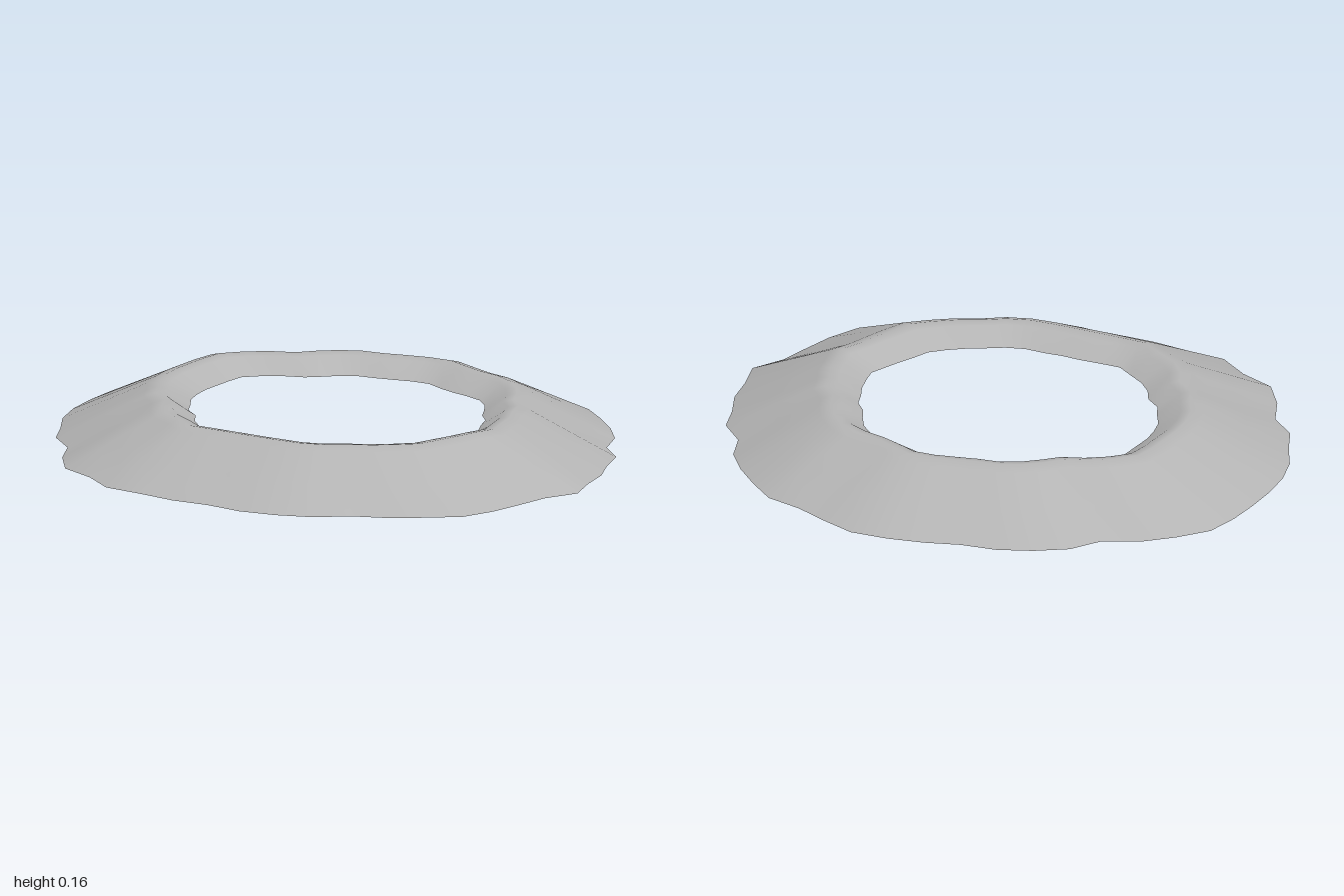
import * as THREE from 'three';

// Radii of the ragged outer foot and inner lip, every 7.5 degrees, before the oval squash
const OUTER = [
  1.007, 0.989, 0.969, 0.95, 0.972, 0.976, 0.973, 0.934, 0.983, 1.01, 1.036, 1.021,
  1.007, 1.003, 1.004, 1.001, 0.986, 0.997, 0.968, 1.016, 1.055, 1.03, 1.057, 1.018,
  1.006, 0.983, 1.002, 1.001, 0.994, 0.965, 0.987, 1.0, 1.023, 1.001, 0.975, 0.964,
  1.004, 0.966, 0.959, 0.94, 0.951, 0.914, 0.953, 0.966, 0.978, 0.997, 0.97, 0.984,
];
const INNER = [
  0.505, 0.496, 0.483, 0.48, 0.49, 0.486, 0.474, 0.474, 0.507, 0.537, 0.561, 0.549,
  0.541, 0.543, 0.543, 0.543, 0.533, 0.537, 0.518, 0.537, 0.546, 0.548, 0.561, 0.534,
  0.516, 0.514, 0.512, 0.526, 0.526, 0.518, 0.521, 0.525, 0.529, 0.513, 0.511, 0.514,
  0.526, 0.511, 0.502, 0.491, 0.495, 0.481, 0.494, 0.51, 0.516, 0.5, 0.485, 0.487,
];
const SQUASH_Z = 0.9;

// Cross-section: [position from inner lip (0) to outer foot (1), height]
const PROFILE = [[1, 0], [0.67, 0.075], [0.34, 0.15], [0.25, 0.163], [0.17, 0.156], [0, 0.105]];

function rimGeometry() {
  const n = OUTER.length;
  const positions = [];
  const indices = [];
  PROFILE.forEach(([t, y], ring) => {
    for (let i = 0; i < n; i++) {
      const a = (1 - i) * (Math.PI * 2 / n);
      const r = THREE.MathUtils.lerp(INNER[i], OUTER[i], t);
      positions.push(r * Math.sin(a), y, -r * Math.cos(a) * SQUASH_Z);
      if (ring === 0) continue;
      // Quad between this ring and the one outside it, facing up
      const j = (i + 1) % n;
      const p = (ring - 1) * n, q = ring * n;
      indices.push(p + i, p + j, q + i, p + j, q + j, q + i);
    }
  });
  const geometry = new THREE.BufferGeometry();
  geometry.setAttribute('position', new THREE.Float32BufferAttribute(positions, 3));
  geometry.setIndex(indices);
  geometry.computeVertexNormals();
  return geometry;
}

export function createModel() {
  const stone = new THREE.MeshStandardMaterial({ color: 0xb4b4b4, side: THREE.DoubleSide });
  stone.name = 'grey stone';

  // Open shell: long outer slope, rounded crest, short inner slope
  const rim = new THREE.Mesh(rimGeometry(), stone);
  rim.name = 'craterRim';

  const model = new THREE.Group();
  model.name = 'crater';
  model.add(rim);
  return model;
}
